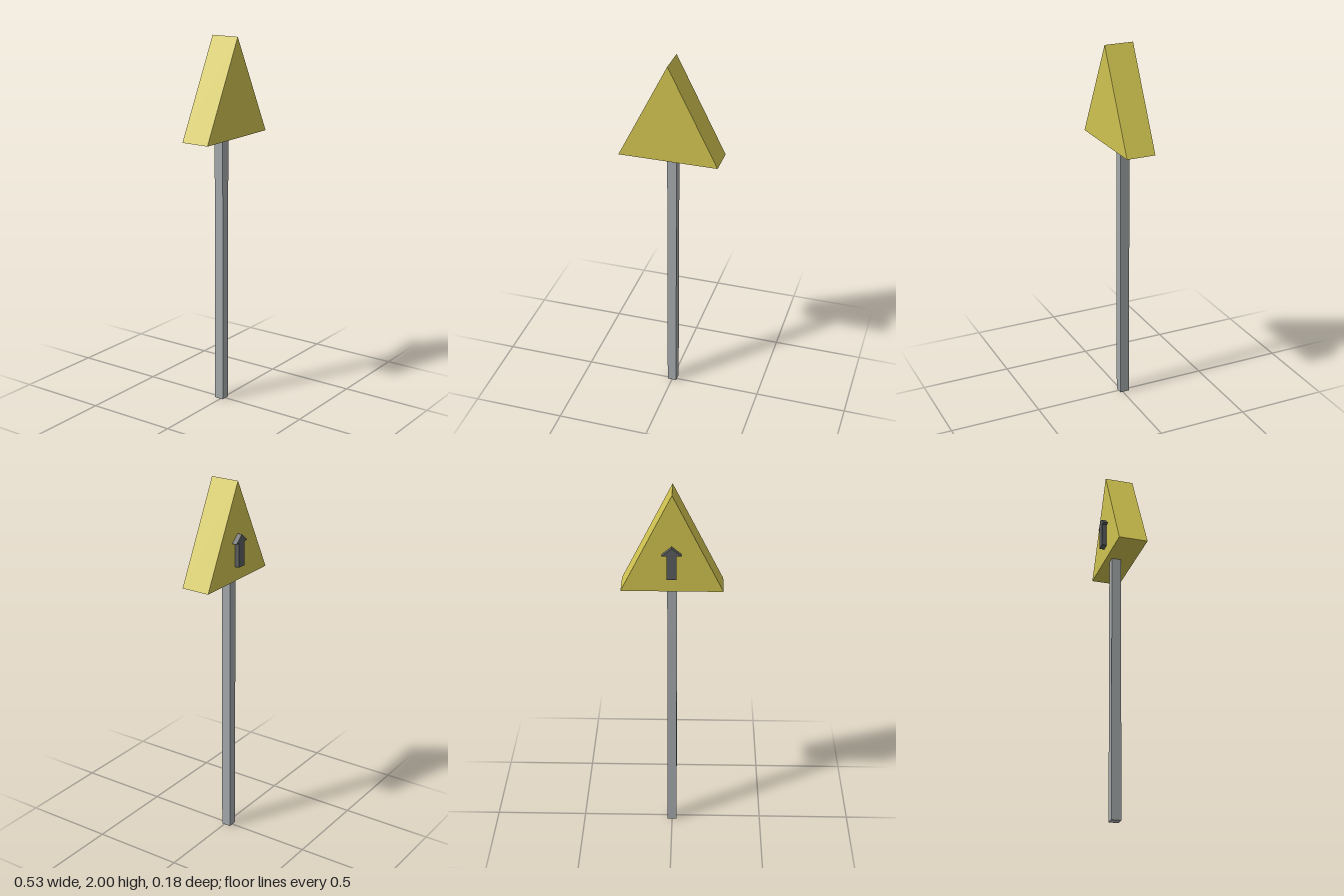
import * as THREE from 'three';

// Flat outline extruded from zBack to zFront
function plate(name, points, zBack, zFront, color) {
  const shape = new THREE.Shape(points.map(([x, y]) => new THREE.Vector2(x, y)));
  const geometry = new THREE.ExtrudeGeometry(shape, { depth: zFront - zBack, bevelEnabled: false });
  geometry.translate(0, 0, zBack);
  const mesh = new THREE.Mesh(geometry, new THREE.MeshStandardMaterial({ color, flatShading: true }));
  mesh.name = name;
  return mesh;
}

export function createModel() {
  const group = new THREE.Group();
  group.name = 'signPost';

  // Square pole
  const pole = new THREE.Mesh(
    new THREE.BoxGeometry(0.05, 1.48, 0.052),
    new THREE.MeshStandardMaterial({ color: 0xa5a9ab, flatShading: true })
  );
  pole.name = 'pole';
  pole.position.set(0, 0.74, -0.011);
  group.add(pole);

  // Thick triangular sign
  group.add(plate('signPanel', [[-0.263, 1.477], [0.263, 1.477], [0, 2]], -0.067, 0.091, 0xd0c350));

  // Raised arrow on the back of the sign
  const half = [[0.025, 1.555], [0.025, 1.685], [0.05, 1.685]];
  const mirrored = half.map(([x, y]) => [-x, y]).reverse();
  const arrow = plate('arrow', [...half, [0, 1.727], ...mirrored], -0.093, -0.067, 0x5a5c5d);
  arrow.position.x = 0.001;
  group.add(arrow);

  return group;
}
